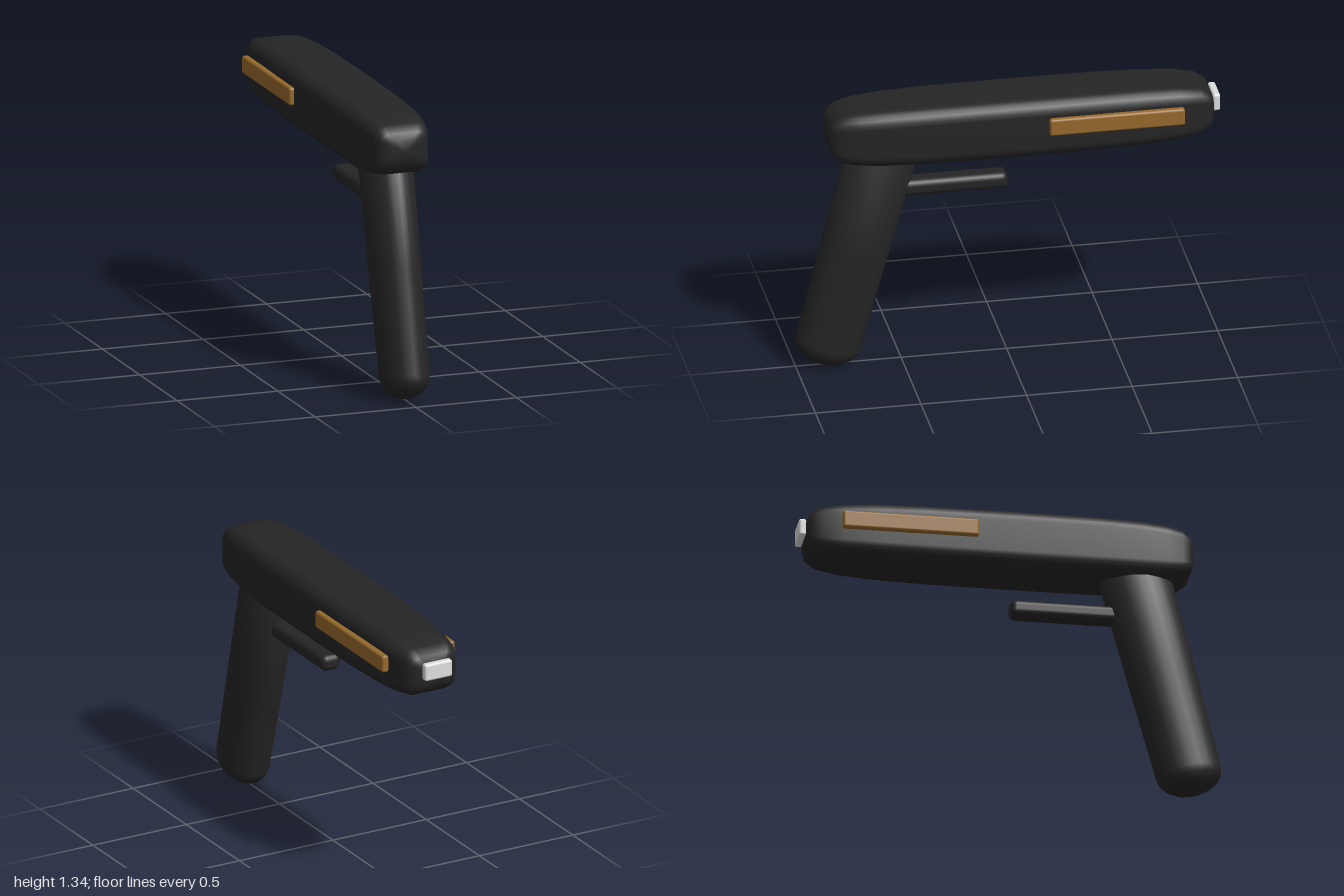
import * as THREE from 'three';
import { RoundedBoxGeometry } from 'three/addons/geometries/RoundedBoxGeometry.js';

const material = (name, color) => {
  const m = new THREE.MeshStandardMaterial({ color });
  m.name = name;
  return m;
};

// Rounded-rectangle sections [z, halfWidth, halfHeight], listed front to back
function loft(stations, radius, steps = 5) {
  const pos = [], index = [], n = 4 * (steps + 1);
  for (const [z, w, h] of stations) {
    const r = Math.min(radius, w * 0.5, h * 0.5);
    for (let c = 0; c < 4; c++) {
      const sx = c === 0 || c === 3 ? 1 : -1, sy = c < 2 ? 1 : -1;
      for (let k = 0; k <= steps; k++) {
        const a = (c + k / steps) * Math.PI / 2;
        pos.push(sx * (w - r) + r * Math.cos(a), sy * (h - r) + r * Math.sin(a), z);
      }
    }
  }
  for (let i = 0; i < stations.length - 1; i++) {
    for (let j = 0; j < n; j++) {
      const a = i * n + j, b = i * n + (j + 1) % n;
      index.push(a, a + n, b, b, a + n, b + n);
    }
  }
  const g = new THREE.BufferGeometry();
  g.setAttribute('position', new THREE.Float32BufferAttribute(pos, 3));
  g.setIndex(index);
  g.computeVertexNormals();
  return g;
}

export function createModel() {
  const model = new THREE.Group();
  const black = material('matte black', 0x252525);
  const gold = material('dull gold', 0x96692c);
  const silver = material('silver', 0xdedede);

  const add = (name, geometry, mat, x, y, z) => {
    const mesh = new THREE.Mesh(geometry, mat);
    mesh.name = name;
    mesh.position.set(x, y, z);
    model.add(mesh);
    return mesh;
  };
  const block = (name, mat, size, at, r) =>
    add(name, new RoundedBoxGeometry(...size, 3, r), mat, ...at);

  // Long body with softly tapering ends
  add('body', loft([
    [0.86, 0, 0], [0.858, 0.06, 0.045], [0.842, 0.112, 0.085], [0.8, 0.134, 0.118],
    [0.72, 0.15, 0.134], [0.6, 0.162, 0.142], [0.4, 0.17, 0.146], [0, 0.171, 0.147],
    [-0.4, 0.17, 0.146], [-0.65, 0.164, 0.142], [-0.8, 0.154, 0.133], [-0.9, 0.138, 0.117],
    [-0.95, 0.115, 0.088], [-0.968, 0.07, 0.05], [-0.97, 0, 0],
  ], 0.07), black, 0, 1.2, 0);

  // Slanted oval grip with a domed foot
  const profile = [];
  for (let i = 0; i <= 5; i++) {
    const a = i / 5 * Math.PI / 2;
    profile.push(new THREE.Vector2(0.157 * Math.sin(a), -0.108 * Math.cos(a)));
  }
  profile.push(new THREE.Vector2(0.164, 0.5), new THREE.Vector2(0.17, 1.02), new THREE.Vector2(0, 1.02));
  const grip = add('grip', new THREE.LatheGeometry(profile, 24), black, 0, 0.115, 0.845);
  grip.scale.x = 0.72;
  grip.rotation.x = -0.256;

  // Bar reaching back from the grip
  block('trigger', black, [0.1, 0.08, 0.54], [0, 0.895, 0.27], 0.03);

  // Gold strips on both flanks
  for (const s of [1, -1]) {
    block(s > 0 ? 'leftStrip' : 'rightStrip', gold, [0.035, 0.085, 0.64], [s * 0.177, 1.223, -0.49], 0.012);
  }

  // Small cap at the far end
  block('endCap', silver, [0.146, 0.085, 0.036], [0, 1.223, -0.982], 0.012);

  return model;
}
